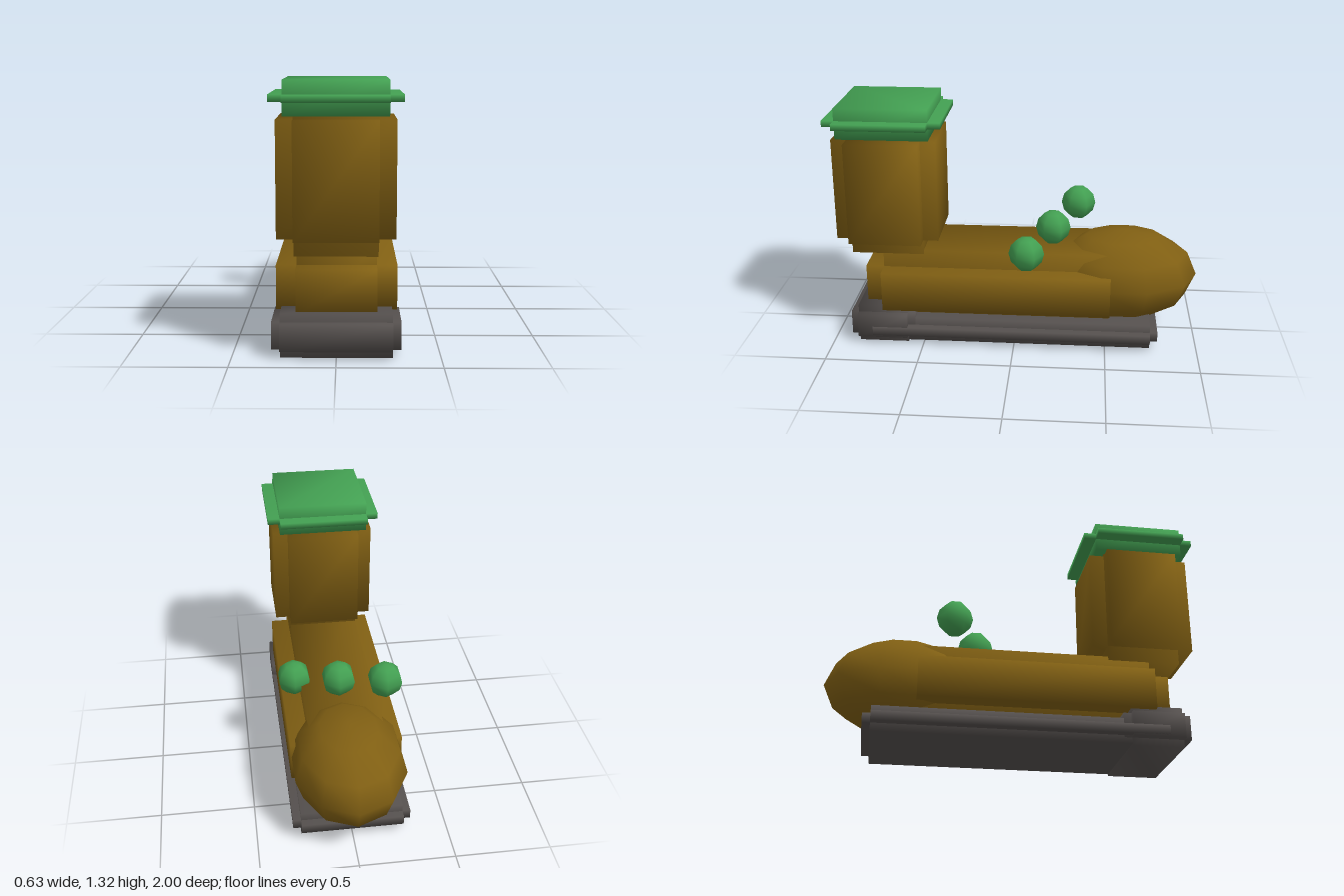
import * as THREE from 'three';
import { mergeVertices, mergeGeometries } from 'three/addons/utils/BufferGeometryUtils.js';

const material = (name, color) => {
  const m = new THREE.MeshStandardMaterial({ color });
  m.name = name;
  return m;
};

// Box with softly shaded, shared corners
function softBox(w, h, d) {
  const g = new THREE.BoxGeometry(w, h, d);
  g.deleteAttribute('normal');
  g.deleteAttribute('uv');
  const merged = mergeVertices(g);
  merged.computeVertexNormals();
  return merged;
}

// Block whose edges and corners are stepped inwards by r; x, y, z are [min, max]
function steppedBlock(name, mat, x, y, z, r) {
  const [w, h, d] = [x, y, z].map(([a, b]) => b - a);
  const s = 2 * r;
  const mesh = new THREE.Mesh(mergeGeometries([
    softBox(w, h - s, d - s),
    softBox(w - s, h, d - s),
    softBox(w - s, h - s, d),
  ]), mat);
  mesh.position.set((x[0] + x[1]) / 2, (y[0] + y[1]) / 2, (z[0] + z[1]) / 2);
  mesh.name = name;
  return mesh;
}

// Low-sided ball with a corner pointing along z
function ball(name, mat, radii, position, sides) {
  const g = new THREE.SphereGeometry(1, sides, 6);
  g.rotateY(Math.PI / 2);
  g.scale(...radii);
  const mesh = new THREE.Mesh(g, mat);
  mesh.position.set(...position);
  mesh.name = name;
  return mesh;
}

export function createModel() {
  const group = new THREE.Group();
  group.name = 'boot';
  const leather = material('brown leather', 0x805f13);
  const trim = material('green trim', 0x43a052);
  const rubber = material('grey rubber', 0x55504e);

  // Sole and heel
  group.add(steppedBlock('sole', rubber, [-0.31, 0.31], [0.01, 0.145], [-0.785, 0.82], 0.042));
  group.add(steppedBlock('heel', rubber, [-0.31, 0.31], [0, 0.215], [0.545, 0.9], 0.041));

  // Foot, toe cap and shaft
  group.add(steppedBlock('foot', leather, [-0.295, 0.295], [0.1, 0.52], [-0.62, 0.82], 0.1));
  group.add(ball('toeCap', leather, [0.305, 0.255, 0.41], [0, 0.345, -0.59], 10));
  group.add(steppedBlock('shaft', leather, [-0.28, 0.28], [0.5, 1.22], [0.415, 0.97], 0.082));

  // Cuff
  group.add(steppedBlock('cuff', trim, [-0.31, 0.31], [1.155, 1.32], [0.38, 1], 0.066));

  // Row of pompoms across the instep
  for (const i of [-1, 0, 1]) {
    group.add(ball('pompom', trim, [0.096, 0.096, 0.096],
      [0.23 * i, 0.602 - 0.067 * i, -0.2 + 0.135 * i], 6));
  }
  return group;
}
